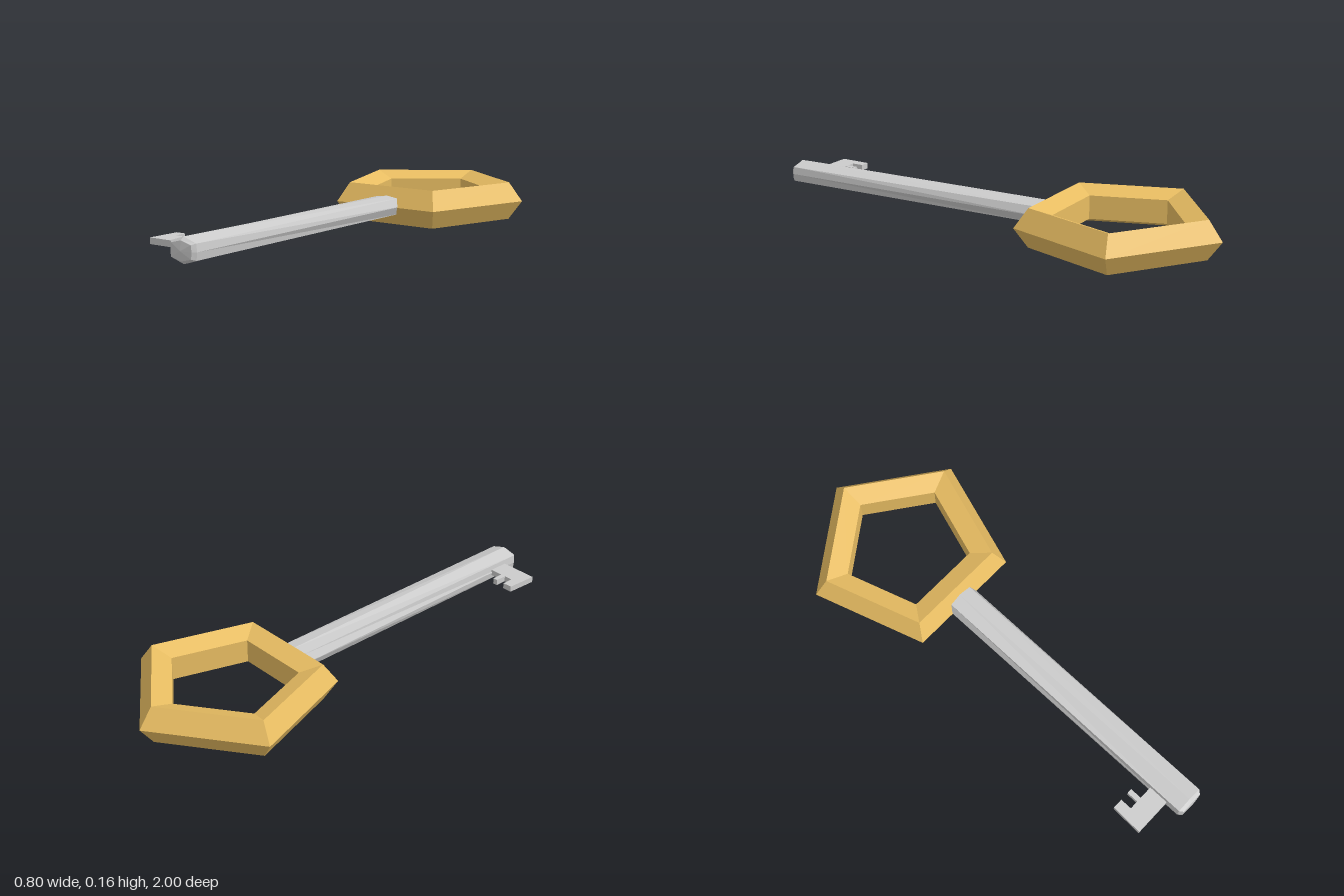
import * as THREE from 'three';

// Skin a list of eight-sided sections, each { z, cx, top, cornerX, cornerY, side }
function loftOctagons(sections, cy) {
  const pos = [], index = [];
  for (const { z, cx, top, cornerX, cornerY, side } of sections) {
    const outline = [
      [side, 0], [cornerX, cornerY], [0, top], [-cornerX, cornerY],
      [-side, 0], [-cornerX, -cornerY], [0, -top], [cornerX, -cornerY],
    ];
    for (const [x, y] of outline) pos.push(cx + x, cy + y, z);
  }
  for (let i = 0; i < sections.length - 1; i++) {
    for (let j = 0; j < 8; j++) {
      const k = (j + 1) % 8;
      const a = i * 8 + j, b = i * 8 + k, c = b + 8, d = a + 8;
      index.push(a, b, c, a, c, d);
    }
  }
  const geometry = new THREE.BufferGeometry();
  geometry.setAttribute('position', new THREE.Float32BufferAttribute(pos, 3));
  geometry.setIndex(index);
  geometry.computeVertexNormals();
  return geometry;
}

export function createModel() {
  const group = new THREE.Group();
  group.name = 'key';
  const gold = new THREE.MeshStandardMaterial({ color: 0xe8bd62, flatShading: true });
  const grey = new THREE.MeshStandardMaterial({ color: 0xcccccc, flatShading: true });
  const midY = 0.08;

  const add = (name, geometry, material) => {
    const mesh = new THREE.Mesh(geometry, material);
    mesh.name = name;
    group.add(mesh);
    return mesh;
  };

  // Pentagonal bow with a five-sided tube, one corner pointing back
  const bow = new THREE.TorusGeometry(0.336, 0.084, 5, 5);
  bow.rotateZ(Math.PI / 2);
  bow.rotateX(-Math.PI / 2);
  add('bow', bow, gold).position.set(0, midY, -0.58);

  // Shaft, changing slightly in section towards a bevelled tip
  const point = { top: 0, cornerX: 0, cornerY: 0, side: 0 };
  add('shaft', loftOctagons([
    { z: -0.3, cx: -0.002, ...point },
    { z: -0.3, cx: -0.002, top: 0.041, cornerX: 0.054, cornerY: 0.034, side: 0.07 },
    { z: 0.98, cx: -0.004, top: 0.05, cornerX: 0.06, cornerY: 0.031, side: 0.064 },
    { z: 0.995, cx: -0.004, top: 0.038, cornerX: 0.048, cornerY: 0.026, side: 0.051 },
    { z: 1.0, cx: -0.004, ...point },
  ], midY + 0.002), grey);

  // Flat bit with two teeth pointing back, drawn in x and z
  const outline = [
    [-0.03, 0.92], [-0.228, 0.92], [-0.222, 0.785], [-0.18, 0.785], [-0.18, 0.835],
    [-0.143, 0.835], [-0.143, 0.785], [-0.122, 0.785], [-0.122, 0.835], [-0.03, 0.835],
  ];
  const shape = new THREE.Shape(outline.map(([x, z]) => new THREE.Vector2(x, z)));
  const bit = new THREE.ExtrudeGeometry(shape, { depth: 0.025, bevelEnabled: false });
  bit.rotateX(Math.PI / 2);
  add('bit', bit, grey).position.y = 0.095;

  return group;
}
